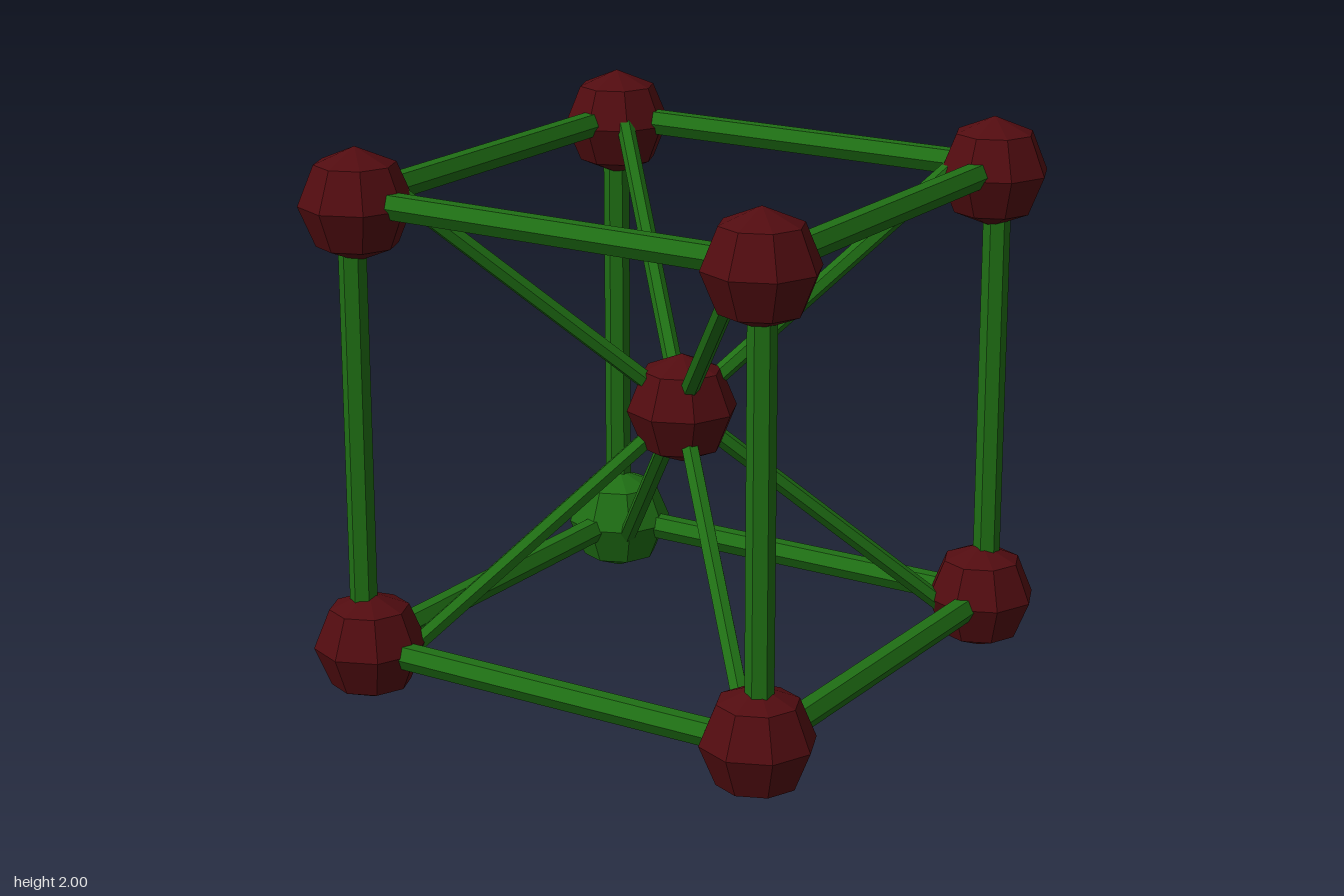
import * as THREE from 'three';

const red = new THREE.MeshStandardMaterial({ color: 0x520c10, flatShading: true });
const green = new THREE.MeshStandardMaterial({ color: 0x1f6f14, flatShading: true });

export function createModel() {
  const model = new THREE.Group();
  const ballGeometry = new THREE.SphereGeometry(0.2, 8, 4);
  const UP = new THREE.Vector3(0, 1, 0);

  function ball(name, x, y, z, material) {
    const mesh = new THREE.Mesh(ballGeometry, material);
    mesh.name = name;
    mesh.position.set(x, y, z);
    model.add(mesh);
  }

  // Six-sided bar between two points
  function rod(name, a, b, radius, turn = 0) {
    const from = new THREE.Vector3(...a);
    const to = new THREE.Vector3(...b);
    const geometry = new THREE.CylinderGeometry(radius, radius, from.distanceTo(to), 6, 1, false, turn);
    const mesh = new THREE.Mesh(geometry, green);
    mesh.name = name;
    mesh.position.copy(from).add(to).multiplyScalar(0.5);
    mesh.quaternion.setFromUnitVectors(UP, to.sub(from).normalize());
    model.add(mesh);
  }

  ball('centreBall', 0, 1, 0, red);

  const signs = [-1, 1];
  const e = 0.813;
  const level = s => (s > 0 ? 1.815 : 0.193);
  for (const a of signs) {
    for (const b of signs) {
      // Frame bars along x, y and z
      rod('crossBar', [-0.75, level(a), b * e], [0.75, level(a), b * e], 0.049);
      rod('upright', [a * e, 0.25, b * e], [a * e, 1.75, b * e], 0.049);
      rod('sideBar', [a * e, level(b), -0.75], [a * e, level(b), 0.75], 0.049, Math.PI / 2);

      for (const c of signs) {
        // Corner balls, one of them green
        const marked = a < 0 && b < 0 && c < 0;
        ball('cornerBall', a * 0.8, 1 + b * 0.8, c * 0.8, marked ? green : red);
        // Thin diagonal from the centre, meeting the corner ball on its inner side
        rod('diagonalRod', [0, 1, 0], [a * 0.69, 1 + b * 0.82, c * 0.69], 0.033);
      }
    }
  }
  return model;
}
